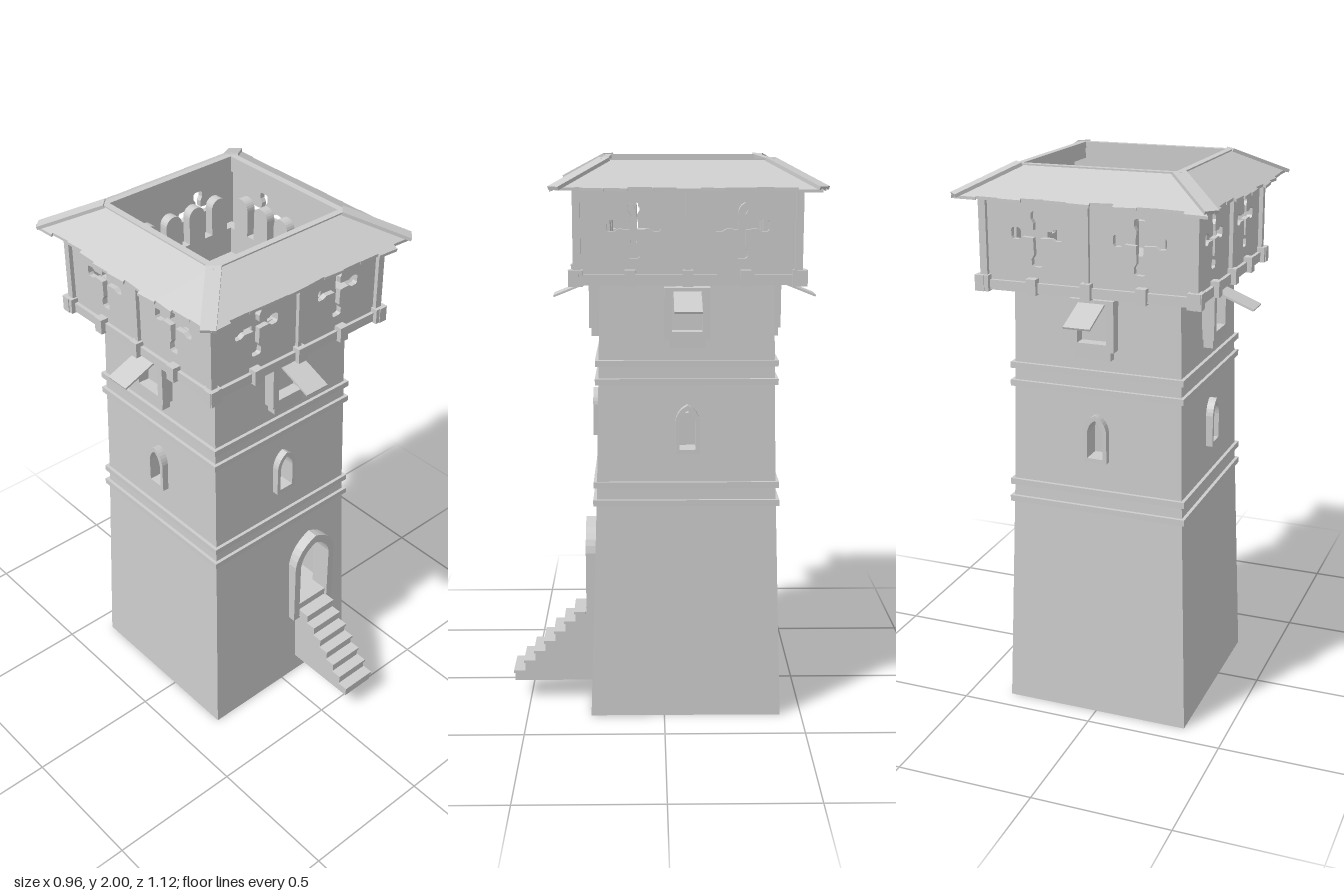
import * as THREE from 'three';

const stone = new THREE.MeshStandardMaterial({ color: 0xcccccc });
stone.name = 'paleStone';

const CZ = -0.078; // the tower axis sits behind the centre because of the stairs

function mesh(parent, name, geo) {
  const m = new THREE.Mesh(geo, stone);
  m.name = name;
  parent.add(m);
  return m;
}
function box(parent, name, w, h, d, x, y, z) {
  const m = mesh(parent, name, new THREE.BoxGeometry(w, h, d));
  m.position.set(x, y, z);
  return m;
}
const pts = (list) => list.map(([x, y]) => new THREE.Vector2(x, y));
const extrude = (shape, depth) =>
  new THREE.ExtrudeGeometry(shape, { depth, bevelEnabled: false, curveSegments: 6 });

// Pointed arch outline
function arch(PathType, cx, w, y0, spring, tip) {
  const p = new PathType();
  const m = spring + (tip - spring) * 0.72;
  p.moveTo(cx - w, y0);
  p.lineTo(cx + w, y0);
  p.lineTo(cx + w, spring);
  p.quadraticCurveTo(cx + w * 0.85, m, cx, tip);
  p.quadraticCurveTo(cx - w * 0.85, m, cx - w, spring);
  p.closePath();
  return p;
}
function archFrame(cx, wo, wi, y0, y0i, spring, tipO, tipI, depth) {
  const s = arch(THREE.Shape, cx, wo, y0, spring, tipO);
  s.holes.push(arch(THREE.Path, cx, wi, y0i, spring - 0.01, tipI));
  return extrude(s, depth);
}

// Cross-shaped arrow slit with flared ends
function crossPath(cx, cy) {
  const out = [];
  [0.092, 0.076, 0.092, 0.11].forEach((L, k) => {
    const a = (k * Math.PI) / 2, c = Math.cos(a), s = Math.sin(a);
    [[0.013, -0.013], [L - 0.04, -0.011], [L - 0.025, -0.02], [L - 0.005, -0.019], [L, -0.012],
      [L, 0.012], [L - 0.005, 0.019], [L - 0.025, 0.02], [L - 0.04, 0.011]]
      .forEach(([u, v]) => out.push([cx + u * c - v * s, cy + u * s + v * c]));
  });
  return new THREE.Path(pts(out));
}

// Sloping wall panel between two heights, leaning with the taper
function wallPanel(y0, y1, h0, h1, hole) {
  const s = new THREE.Shape(pts([[-h0, y0], [h0, y0], [h1, y1], [-h1, y1]]));
  if (hole) s.holes.push(hole);
  const g = extrude(s, 0.05);
  const p = g.attributes.position;
  for (let i = 0; i < p.count; i++) {
    const t = (p.getY(i) - y0) / (y1 - y0);
    p.setZ(i, p.getZ(i) - 0.05 + h0 + (h1 - h0) * t);
  }
  g.computeVertexNormals();
  return g;
}

// Roof slope with a ragged plank edge
function roofSlope(rand) {
  const edge = [];
  const n = 11;
  for (let i = 0; i < n; i++) {
    const r = 0.443 + rand() * 0.01 + (rand() > 0.8 ? 0.012 : 0);
    edge.push([-0.44 + (0.88 * i) / n, -r], [-0.44 + (0.88 * (i + 1)) / n, -r - (rand() - 0.5) * 0.008]);
  }
  const g = extrude(new THREE.Shape(pts([...edge, [0.285, -0.285], [-0.285, -0.285]])), 0.01);
  g.rotateX(-Math.PI / 2);
  const p = g.attributes.position;
  for (let i = 0; i < p.count; i++) p.setY(i, p.getY(i) + 1.9 + (0.45 - p.getZ(i)) * 0.54);
  g.computeVertexNormals();
  return g;
}

// Battlement with round-topped merlons
function battlement() {
  const s = new THREE.Shape();
  s.moveTo(0.3, 1.6);
  s.lineTo(0.3, 1.72);
  for (let i = 2; i >= -2; i--) {
    const x = i * 0.105;
    s.lineTo(x + 0.035, 1.72);
    s.lineTo(x + 0.035, 1.82);
    s.absarc(x, 1.82, 0.035, 0, Math.PI, false);
    s.lineTo(x - 0.035, 1.72);
  }
  s.lineTo(-0.3, 1.72);
  s.lineTo(-0.3, 1.6);
  return extrude(s, 0.035);
}

function buildSide(i, rand) {
  const g = new THREE.Group();
  g.name = 'towerSide' + (i + 1);
  g.rotation.y = (i * Math.PI) / 2;
  const front = i === 0;

  // Walls
  mesh(g, 'lowerWall', wallPanel(0, 0.87, 0.345, 0.316,
    front ? arch(THREE.Path, 0.143, 0.075, 0.32, 0.58, 0.665) : null));
  mesh(g, 'middleWall', wallPanel(0.87, 1.24, 0.316, 0.308,
    arch(THREE.Path, 0.003, 0.029, 1.0, 1.095, 1.14)));
  mesh(g, 'upperWall', wallPanel(1.24, 1.6, 0.308, 0.3));

  // String courses
  [[0.803, 0.33], [0.868, 0.328], [1.238, 0.32], [1.303, 0.319]].forEach(([y, h]) =>
    box(g, 'stringCourse', 2 * h, 0.022, 0.04, 0, y, h - 0.02));

  // Slit window frame
  mesh(g, 'slitFrame', archFrame(0.003, 0.043, 0.029, 0.985, 1.0, 1.1, 1.158, 1.14, 0.045))
    .position.z = 0.292;

  // Shuttered window: frame, sill and propped shutter
  [-1, 1].forEach((s) => box(g, 'windowJamb', 0.026, 0.175, 0.06, s * 0.066, 1.482, 0.317));
  box(g, 'windowHead', 0.158, 0.022, 0.06, 0, 1.559, 0.317);
  box(g, 'windowLedge', 0.158, 0.026, 0.06, 0, 1.405, 0.317);
  box(g, 'windowSill', 0.13, 0.032, 0.045, 0, 1.376, 0.317);
  const shutter = box(g, 'shutter', 0.095, 0.007, 0.145, 0, 1.53, 0.409);
  shutter.rotation.x = 0.38;

  // Timber gallery wall with cross slits
  const s = new THREE.Shape(pts([[-0.372, 1.59], [0.372, 1.59], [0.372, 1.93], [-0.372, 1.93]]));
  s.holes.push(crossPath(-0.182, 1.782), crossPath(0.182, 1.782));
  mesh(g, 'galleryWall', extrude(s, 0.02)).position.z = 0.352;
  box(g, 'galleryFloor', 0.74, 0.02, 0.09, 0, 1.592, 0.327);
  box(g, 'galleryBottomRail', 0.77, 0.034, 0.02, 0, 1.602, 0.375);
  box(g, 'galleryTopRail', 0.75, 0.02, 0.014, 0, 1.905, 0.374);
  box(g, 'galleryPost', 0.016, 0.31, 0.02, 0, 1.765, 0.376);
  box(g, 'cornerPost', 0.026, 0.34, 0.026, 0.374, 1.76, 0.374);
  [-0.195, 0, 0.195].forEach((x) => box(g, 'beamEnd', 0.036, 0.055, 0.1, x, 1.608, 0.353));
  [-0.384, 0.384].forEach((x) => box(g, 'cornerBeamEnd', 0.032, 0.055, 0.05, x, 1.608, 0.378));

  mesh(g, 'battlement', battlement()).position.z = 0.265;

  // Roof slope, hip cap and rim
  mesh(g, 'roofSlope', roofSlope(rand));
  const cap = box(g, 'hipCap', 0.05, 0.012, 0.25, 0.363, 1.954, 0.363);
  cap.rotation.order = 'YXZ';
  cap.rotation.set(0.365, Math.PI / 4, 0);
  box(g, 'roofRim', 0.586, 0.022, 0.024, 0, 1.989, 0.281);
  box(g, 'roofRimLining', 0.55, 0.05, 0.012, 0, 1.965, 0.279);
  return g;
}

export function createModel() {
  const model = new THREE.Group();
  model.name = 'watchtower';
  const tower = new THREE.Group();
  tower.name = 'tower';
  tower.position.z = CZ;
  model.add(tower);

  let seed = 7;
  const rand = () => (seed = (seed * 16807) % 2147483647) / 2147483647;
  for (let i = 0; i < 4; i++) tower.add(buildSide(i, rand));

  // Floors
  box(tower, 'groundFloor', 0.63, 0.02, 0.63, 0, 0.31, 0);
  box(tower, 'upperFloor', 0.57, 0.02, 0.57, 0, 1.25, 0);

  // Deck with a hatch opening
  const deck = new THREE.Shape(pts([[-0.29, -0.29], [0.29, -0.29], [0.29, 0.29], [-0.29, 0.29]]));
  deck.holes.push(new THREE.Path(pts([[-0.21, 0.01], [-0.045, 0.01], [-0.045, 0.18], [-0.21, 0.18]])));
  const deckMesh = mesh(tower, 'deck', extrude(deck, 0.02));
  deckMesh.rotation.x = -Math.PI / 2;
  deckMesh.position.y = 1.6;
  [-0.215, -0.04].forEach((x) => box(tower, 'hatchCurb', 0.01, 0.02, 0.19, x, 1.625, -0.095));
  [-0.185, -0.005].forEach((z) => box(tower, 'hatchCurb', 0.185, 0.02, 0.01, -0.1275, 1.625, z));

  // Ladder through the hatch
  const ladder = new THREE.Group();
  ladder.name = 'ladder';
  ladder.position.set(-0.13, 1.47, -0.122);
  ladder.rotation.x = -0.33;
  tower.add(ladder);
  [-0.048, 0.048].forEach((x) => box(ladder, 'ladderRail', 0.016, 0.44, 0.014, x, 0, 0));
  for (let k = 0; k < 10; k++) box(ladder, 'rung', 0.13, 0.012, 0.016, 0, -0.18 + k * 0.038, 0.008);

  // Door surround
  mesh(tower, 'doorFrame', archFrame(0.143, 0.102, 0.074, 0.31, 0.32, 0.59, 0.7, 0.665, 0.06))
    .position.z = 0.303;

  // Stairs: stepped side profile with overhanging treads
  const n = 7, run = 0.038, rise = 0.0385;
  const profile = [[0.2, 0.08], [0.556, 0.08]];
  for (let k = 0; k < n; k++) {
    const z = 0.556 - k * run, y = 0.08 + (k + 1) * rise;
    profile.push([z, y], [z - run, y]);
    box(model, 'tread', 0.142, 0.01, run + 0.005, 0.14, y - 0.003, z - run / 2 + 0.002);
  }
  profile.push([0.2, 0.08 + n * rise]);
  const stairs = mesh(model, 'stairs', extrude(new THREE.Shape(pts(profile)), 0.134));
  stairs.rotation.y = -Math.PI / 2;
  stairs.position.x = 0.207;
  box(model, 'doorStep', 0.14, 0.035, 0.08, 0.14, 0.361, 0.24);
  return model;
}
